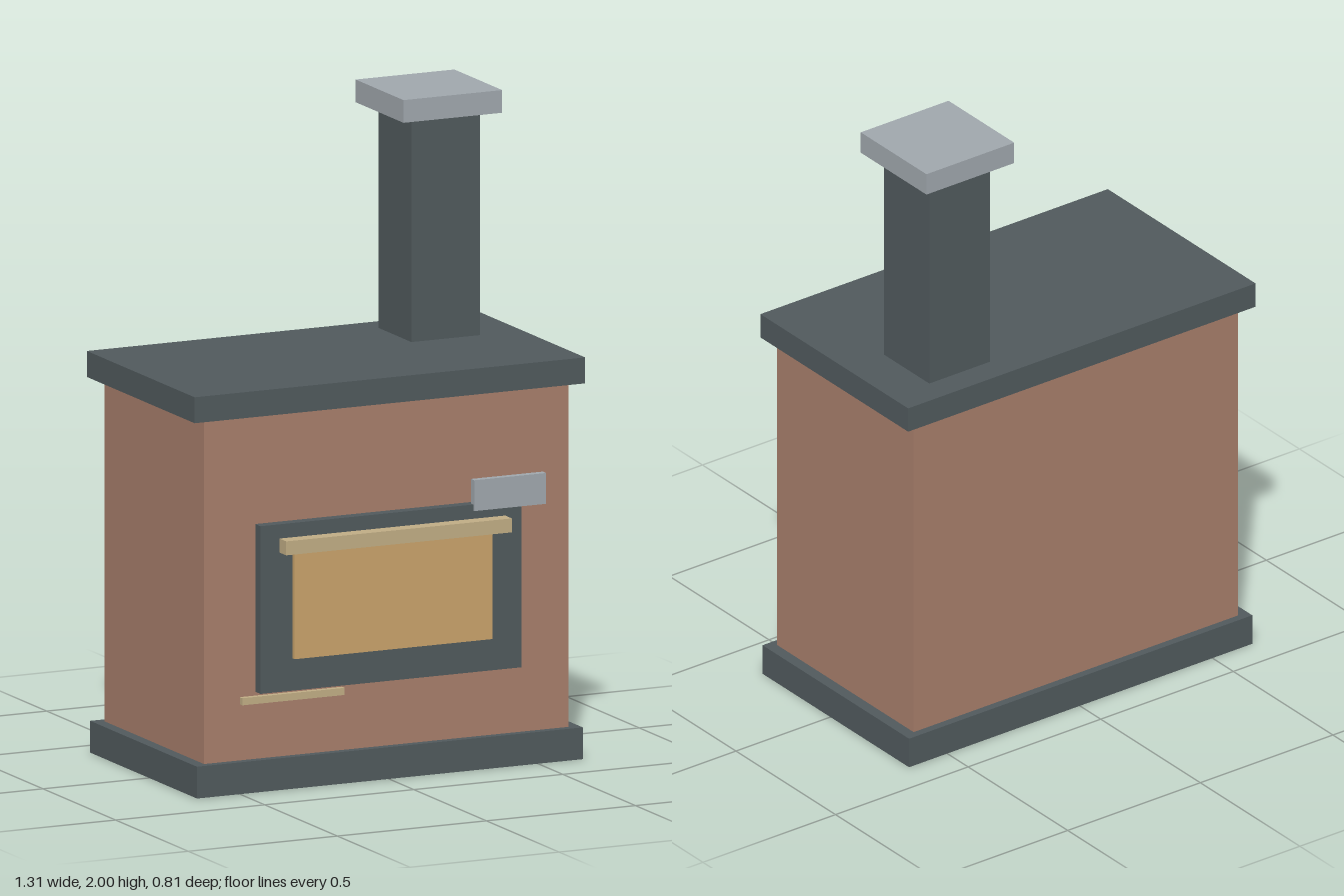
import * as THREE from 'three';

const mat = (name, color) => {
  const m = new THREE.MeshStandardMaterial({ color });
  m.name = name;
  return m;
};

export function createModel() {
  const clay = mat('clay', 0xa67d6a);
  const charcoal = mat('charcoal', 0x50595c);
  const steel = mat('steel', 0x9fa6ac);
  const amber = mat('amber', 0xc8a26a);
  const brass = mat('brass', 0xbfac84);

  const group = new THREE.Group();
  group.name = 'stove';

  // Box given by its extents along each axis
  const box = (name, material, [x0, x1], [y0, y1], [z0, z1]) => {
    const mesh = new THREE.Mesh(new THREE.BoxGeometry(x1 - x0, y1 - y0, z1 - z0), material);
    mesh.position.set((x0 + x1) / 2, (y0 + y1) / 2, (z0 + z1) / 2);
    mesh.name = name;
    group.add(mesh);
  };

  // Main housing; the body reaches the ground inside the plinth
  box('body', clay, [-0.612, 0.61], [0, 1.17], [-0.373, 0.312]);
  box('plinth', charcoal, [-0.648, 0.646], [0.002, 0.1], [-0.398, 0.338]);
  box('topSlab', charcoal, [-0.656, 0.654], [1.16, 1.24], [-0.404, 0.338]);

  // Chimney
  box('chimney', charcoal, [0.28, 0.509], [1.23, 1.94], [-0.317, -0.09]);
  box('chimneyCap', steel, [0.23, 0.561], [1.93, 2], [-0.372, -0.042]);

  // Door with its window and handle bar
  box('doorFrame', charcoal, [-0.44, 0.435], [0.307, 0.824], [0.305, 0.348]);
  box('window', amber, [-0.333, 0.33], [0.407, 0.75], [0.34, 0.364]);
  box('handleBar', brass, [-0.38, 0.377], [0.739, 0.782], [0.356, 0.402]);

  // Small front fittings
  box('latchPlate', steel, [0.274, 0.515], [0.805, 0.9], [0.332, 0.355]);
  box('lowerStrip', brass, [-0.506, -0.163], [0.28, 0.302], [0.341, 0.359]);

  return group;
}
